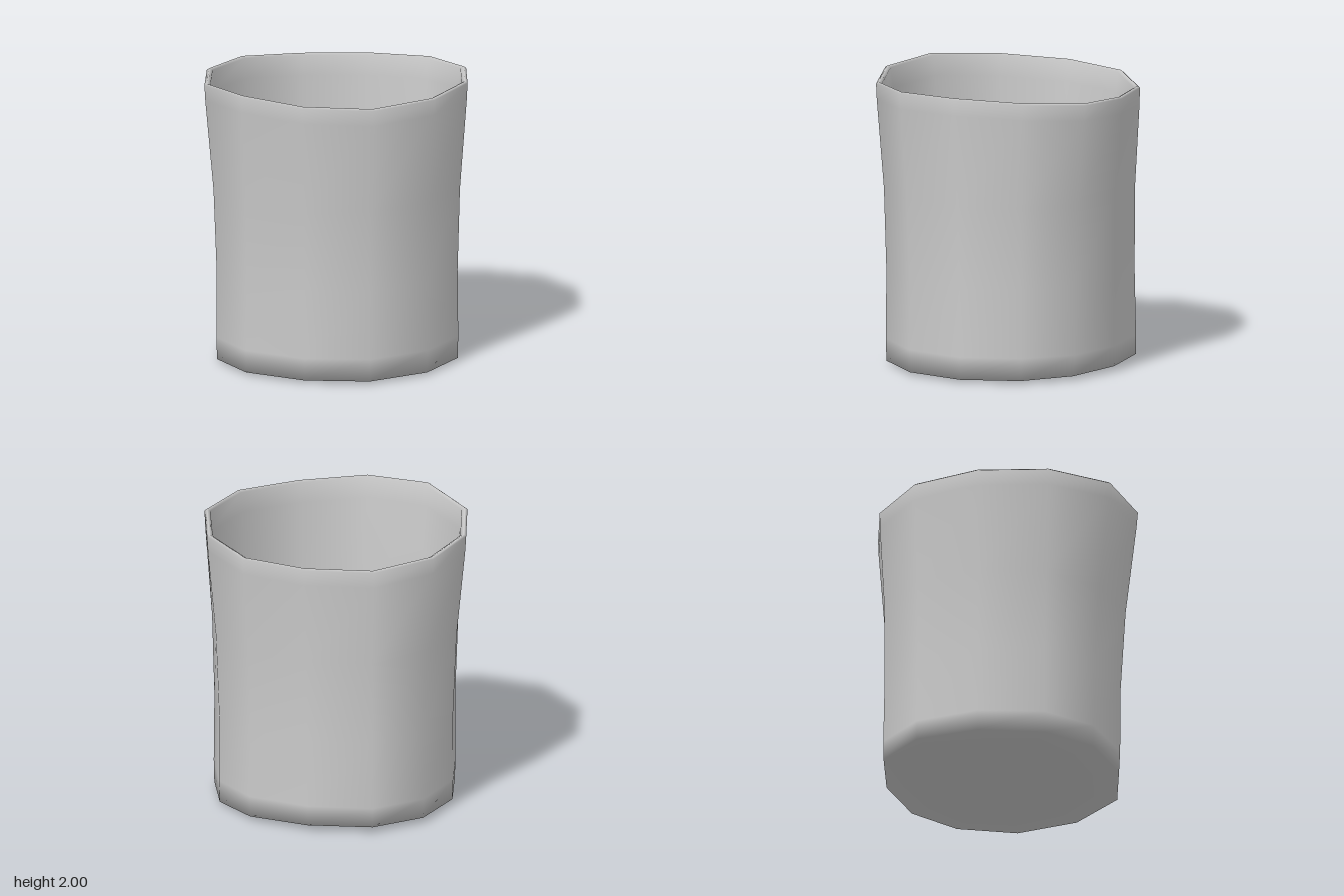
import * as THREE from 'three';

// Rim corners [x, z, y] and floor corners [x, z], from the back round by +x
const RIM = [
  [0, -0.91, 1.9], [0.45, -0.75, 1.91], [0.8, -0.47, 1.93], [0.92, -0.03, 1.96],
  [0.8, 0.43, 1.98], [0.47, 0.77, 1.97], [0, 0.89, 1.955], [-0.47, 0.79, 1.98],
  [-0.81, 0.46, 2.0], [-0.93, -0.03, 1.97], [-0.78, -0.5, 1.95], [-0.45, -0.83, 1.93],
];
const FLOOR = [
  [0, -0.84], [0.39, -0.67], [0.69, -0.38], [0.79, -0.03], [0.71, 0.36], [0.42, 0.66],
  [0, 0.78], [-0.4, 0.64], [-0.71, 0.34], [-0.8, -0.03], [-0.66, -0.44], [-0.37, -0.75],
];
const N = RIM.length;
const lerp = THREE.MathUtils.lerp;

// One ring: mix from floor outline to rim outline, scale, height
function ring(mix, scale, heightAt) {
  return RIM.map(([rx, rz, ry], i) => {
    const [fx, fz] = FLOOR[i];
    return [lerp(fx * 1.05, rx, mix) * scale, heightAt(ry, i), lerp(fz * 1.05, rz, mix) * scale];
  });
}

// Smooth shell through rings, closed by a centre point at both ends
function loft(rings, startY, endY) {
  const pos = [0, startY, 0, ...rings.flat(2), 0, endY, 0];
  const end = rings.length * N + 1;
  const index = [];
  const at = (r, i) => 1 + r * N + (i % N);
  for (let i = 0; i < N; i++) {
    index.push(0, at(0, i), at(0, i + 1));
    for (let r = 0; r < rings.length - 1; r++) {
      const a = at(r, i), b = at(r, i + 1), c = at(r + 1, i + 1), d = at(r + 1, i);
      index.push(a, d, b, b, d, c);
    }
    index.push(at(rings.length - 1, i), end, at(rings.length - 1, i + 1));
  }
  const geo = new THREE.BufferGeometry();
  geo.setAttribute('position', new THREE.Float32BufferAttribute(pos, 3));
  geo.setIndex(index);
  geo.computeVertexNormals();
  return geo;
}

export function createModel() {
  const group = new THREE.Group();
  group.name = 'cup';
  const rings = [
    // Underside edge, a little higher at the back
    ring(0, 1, (y, i) => 0.025 + Math.max(0, -FLOOR[i][1]) * 0.025),
    // Outer wall, drawn in slightly at mid height
    ring(0.06, 1, () => 0.18),
    ring(0.18, 0.985, () => 0.65),
    ring(0.48, 0.98, () => 1.22),
    ring(0.93, 1, (y) => y - 0.12),
    // Rounded rim
    ring(1, 1, (y) => y - 0.012),
    ring(1, 0.982, (y) => y),
    ring(1, 0.955, (y) => y - 0.012),
    // Inner wall and floor edge
    ring(0.88, 0.95, (y) => y - 0.15),
    ring(0.42, 0.945, () => 1.15),
    ring(0.1, 0.95, () => 0.35),
    ring(0, 0.95, () => 0.1),
  ];
  const cup = new THREE.Mesh(
    loft(rings, 0.005, 0.07),
    new THREE.MeshStandardMaterial({ color: 0xcccccc }),
  );
  cup.name = 'cupShell';
  group.add(cup);
  return group;
}
